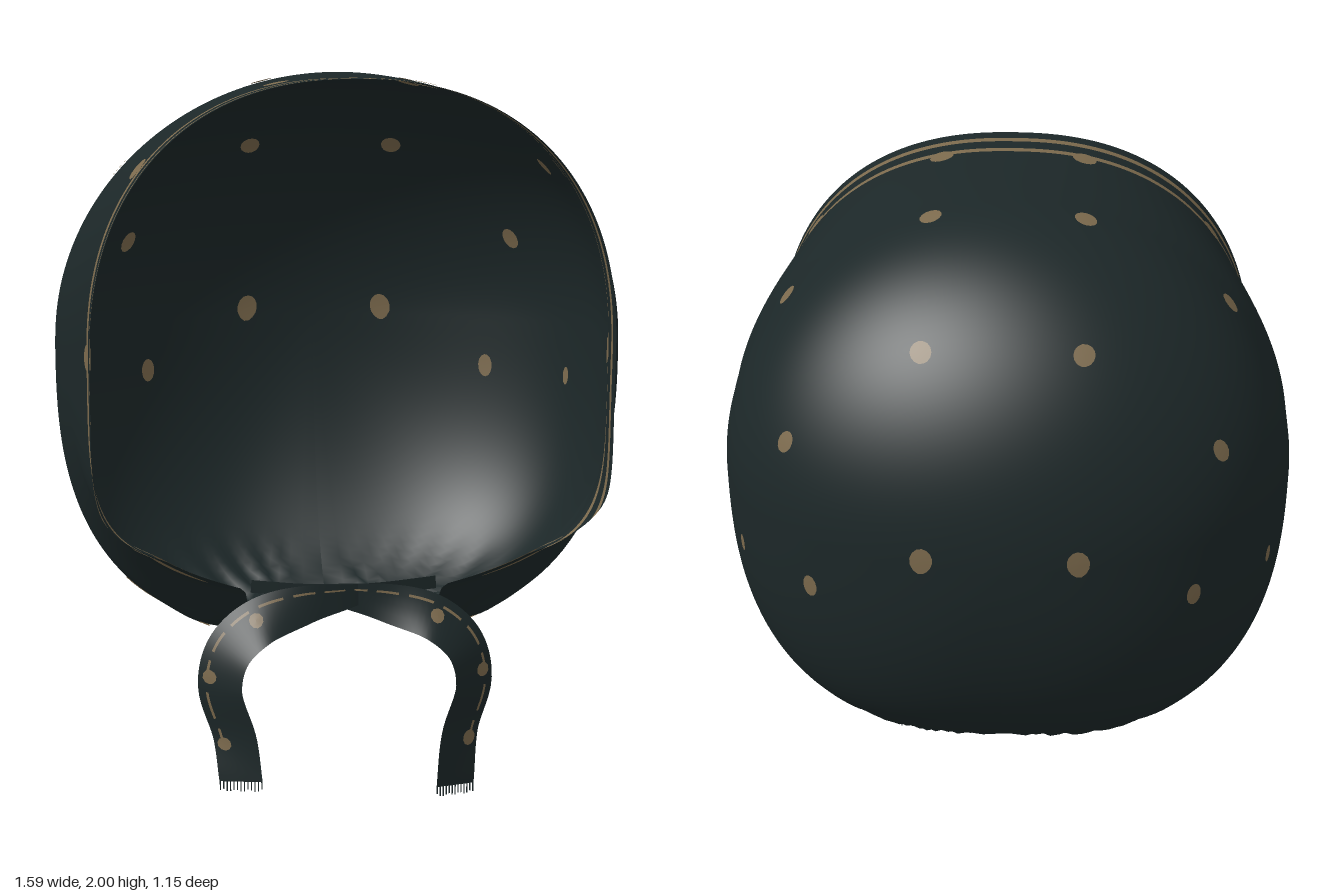
import * as THREE from 'three';

const RAD = Math.PI / 180;
const fabric = new THREE.MeshStandardMaterial({ color: 0x1c2728, side: THREE.DoubleSide });
fabric.name = 'dark teal cloth';
const gold = new THREE.MeshStandardMaterial({ color: 0x7c6a4d, side: THREE.DoubleSide });
gold.name = 'tan print';

const smooth = THREE.MathUtils.smoothstep;

// Piecewise linear lookup
function lookup(table, x) {
  if (x <= table[0][0]) return table[0][1];
  for (let i = 1; i < table.length; i++) {
    const [x0, y0] = table[i - 1], [x1, y1] = table[i];
    if (x <= x1) return y0 + (y1 - y0) * (x - x0) / (x1 - x0);
  }
  return table[table.length - 1][1];
}

// Grid surface from fn(u, v), both running 0..1
function sheet(name, nu, nv, fn, material) {
  const pos = [], index = [];
  for (let i = 0; i <= nu; i++) {
    for (let j = 0; j <= nv; j++) {
      const p = fn(i / nu, j / nv);
      pos.push(p.x, p.y, p.z);
      if (i < nu && j < nv) {
        const a = i * (nv + 1) + j, b = a + nv + 1;
        index.push(a, a + 1, b, b, a + 1, b + 1);
      }
    }
  }
  const g = new THREE.BufferGeometry();
  g.setAttribute('position', new THREE.Float32BufferAttribute(pos, 3));
  g.setIndex(index);
  g.computeVertexNormals();
  const mesh = new THREE.Mesh(g, material);
  mesh.name = name;
  return mesh;
}

// ---- Hood surface: a = 0 back pole, 1 middle, 2 face edge; theta = angle from the crown
const DEPTH = [[-0.08, 0.84], [0.17, 0.83], [0.23, 0.75], [0.28, 0.685], [0.4, 0.6], [0.55, 0.5]];
const SQUARE = [[0.22, 2.7], [0.28, 2.8], [0.4, 4], [0.53, 7]];
const END = [[-0.2, 90], [-0.15, 85], [-0.05, 80], [0.1, 80], [0.28, 78], [0.4, 69], [0.53, 52], [0.55, 48]];
const zOf = (a) => (a < 1 ? -0.575 * Math.cos(a * Math.PI / 2) : (a - 1) * 0.55);
const aOf = (z) => 1 + z / 0.55;
const endAngle = (a) => (90 + lookup(END, zOf(a))) * RAD;
const arc = (t) => Math.sqrt(Math.max(0, 1 - t * t));

function hood(a, theta) {
  const z = zOf(a), th = Math.abs(theta), sign = Math.sign(theta);
  const width = z < 0 ? 0.79 * arc(z / 0.575) : 0.79 - 0.09 * smooth(z, 0.15, 0.48);
  const top = z < 0.1 ? 0.75 * arc((z - 0.1) / 0.675) : 0.75 - 0.012 * smooth(z, 0.1, 0.5);
  const depth = z < -0.08 ? 0.84 * arc((z + 0.08) / 0.495) : lookup(DEPTH, z);
  let x, y;
  if (th <= Math.PI / 2) {
    const s = Math.sin(th), c = Math.max(0, Math.cos(th)), n = 2 + 0.3 * smooth(z, 0.1, 0.45);
    const r = Math.pow(Math.pow(s, n) + Math.pow(c, n), -1 / n);
    x = width * s * r;
    y = 1.25 + top * c * r;
  } else {
    const s = Math.min(1, Math.sin(th - Math.PI / 2)), n = lookup(SQUARE, z);
    x = width * Math.pow(Math.max(0, 1 - Math.pow(s, n)), 1 / n);
    y = 1.25 - depth * s;
    // gathers toward the neck
    const k = smooth(th, 142 * RAD, 171 * RAD) * smooth(z, -0.4, -0.2) * (1 - smooth(z, 0.15, 0.28));
    y += 0.014 * k * Math.sin(30 * Math.atan2(z, x));
  }
  // wavy face edge
  const bend = 0.022 * Math.sin((y - 1.4) * 4) * smooth(z, 0.2, 0.55);
  return new THREE.Vector3(x * sign, y, z + bend);
}

// Tangents, and a point lifted off the surface
function frame(a, th) {
  const e = 0.004;
  const du = hood(a + e, th).sub(hood(a - e, th)).divideScalar(2 * e);
  const dv = hood(a, th + e).sub(hood(a, th - e)).divideScalar(2 * e);
  return { du, dv, n: du.clone().cross(dv).normalize() };
}
const lifted = (a, th, off) => hood(a, th).addScaledVector(frame(a, th).n, off);

// Closest surface parameters to a rough position
function locate(target) {
  let best = [1, 0], dist = Infinity;
  for (let a = 0.1; a < 1.95; a += 0.01) {
    for (let th = 0.01; th < endAngle(a); th += 0.015) {
      const d = hood(a, th).distanceToSquared(target);
      if (d < dist) { dist = d; best = [a, th]; }
    }
  }
  return best;
}

export function createModel() {
  const model = new THREE.Group();
  model.name = 'bonnet';

  // Cloth hood with two woven stripes beside the face edge
  const bands = [
    ['hoodCloth', 0, aOf(0.425), 70, fabric],
    ['innerStripe', aOf(0.425), aOf(0.446), 2, gold],
    ['brimCloth', aOf(0.446), aOf(0.49), 3, fabric],
    ['outerStripe', aOf(0.49), aOf(0.512), 2, gold],
    ['brimEdge', aOf(0.512), 2, 3, fabric],
  ];
  for (const [name, a0, a1, n, mat] of bands) {
    model.add(sheet(name, n, 200, (u, v) => {
      const a = a0 + (a1 - a0) * u;
      return hood(a, (v * 2 - 1) * endAngle(a));
    }, mat));
  }

  // Printed dots, inside and outside: x, y, z, radius along the depth, radius around
  const dots = [
    [0.208, 1.275, -0.55, 0.031, 0.038], [0.505, 1.1, -0.42, 0.023, 0.034],
    [0.57, 1.5, -0.33, 0.024, 0.033], [0.215, 1.78, -0.35, 0.031, 0.029],
    [0.205, 1.97, 0.05, 0.031, 0.031], [0.6, 1.74, 0.04, 0.029, 0.03],
    [0.79, 1.24, 0.09, 0.028, 0.032], [0.72, 1.09, -0.22, 0.012, 0.027],
    [0.2, 1.96, 0.425, 0.033, 0.034], [0.58, 1.76, 0.435, 0.033, 0.034], [0.71, 1.25, 0.435, 0.03, 0.036],
  ];
  for (const [x, y, z, ra, rt] of dots) {
    const [a, th] = locate(new THREE.Vector3(x, y, z));
    for (const side of [1, -1]) {
      const { du, dv } = frame(a, th * side);
      for (const off of [0.004, -0.004]) {
        model.add(sheet('dot', 3, 14, (u, v) => {
          const q = v * Math.PI * 2;
          return lifted(a + ra * u * Math.cos(q) / du.length(), th * side + rt * u * Math.sin(q) / dv.length(), off);
        }, gold));
      }
    }
  }

  // Printed strokes along the lower face edge and in the neck gathers
  for (const side of [1, -1]) {
    for (const off of [0.004, -0.004]) {
      model.add(sheet('lowerEdgeStroke', 16, 2, (u, v) => {
        const a = aOf(0.305 + 0.12 * u);
        const w = Math.sin(Math.PI * (0.1 + 0.8 * u));
        return lifted(a, side * (endAngle(a) - (3.5 + (v - 0.5) * 3.5 * w) * RAD), off);
      }, gold));
      model.add(sheet('gatherStroke', 3, 10, (u, v) =>
        lifted(aOf(0.115 + 0.03 * u), side * (142 + 20 * v) * RAD, off), gold));
    }
  }

  // Crossed ties: each starts at one corner and hangs on the other side
  for (const side of [1, -1]) {
    const tie = new THREE.Group();
    tie.name = side > 0 ? 'leftTie' : 'rightTie';
    const drop = side > 0 ? 0 : 0.03;
    const path = new THREE.CatmullRomCurve3([
      [-0.26, 0.585, 0.265], [-0.12, 0.575, 0.29], [0, 0.56, 0.305 + drop * 0.4], [0.12, 0.54, 0.325],
      [0.25, 0.5, 0.352], [0.33, 0.425, 0.36], [0.355, 0.32, 0.362], [0.315, 0.18, 0.37], [0.3, 0.03 + drop, 0.385],
    ].map(([x, y, z]) => new THREE.Vector3(x * side, y, z)));
    const at = (t, w, off = 0) => {
      const p = path.getPoint(t), d = path.getTangent(t);
      const half = 0.018 + 0.04 * smooth(t, 0.08, 0.45);
      const across = new THREE.Vector3(-d.y, d.x, 0).normalize().multiplyScalar(half * side);
      across.z = -0.046 * smooth(t, 0.3, 0.55) + 0.012 * smooth(t, 0.8, 1);
      const n = across.clone().cross(d).normalize();
      return p.addScaledVector(across, w).addScaledVector(n, off);
    };
    tie.add(sheet('ribbon', 60, 4, (u, v) => at(u, v * 2 - 1), fabric));
    for (const off of [0.004, -0.004]) {
      // dashed printed line
      for (let i = 0; i < 8; i++) {
        const t0 = 0.25 + i * 0.085;
        tie.add(sheet('ribbonDash', 6, 1, (u, v) => at(t0 + 0.06 * u, 0.5 + 0.12 * v, off), gold));
      }
      // printed blotches
      for (const [t, w] of [[0.5, 0.1], [0.72, 0.45], [0.89, 0.5]]) {
        tie.add(sheet('ribbonDot', 2, 10, (u, v) => {
          const q = v * Math.PI * 2;
          return at(t + 0.02 * u * Math.cos(q), w + 0.32 * u * Math.sin(q), off);
        }, gold));
      }
    }
    // frayed end
    for (let i = 0; i < 13; i++) {
      const p = at(1, -0.96 + i * 0.16);
      const len = 0.022 + 0.008 * Math.abs(Math.sin(i * 2.3));
      const thread = new THREE.Mesh(new THREE.BoxGeometry(0.003, len, 0.003), fabric);
      thread.name = 'fringe';
      thread.position.set(p.x, p.y - len / 2 + 0.002, p.z);
      tie.add(thread);
    }
    model.add(tie);
  }

  return model;
}
